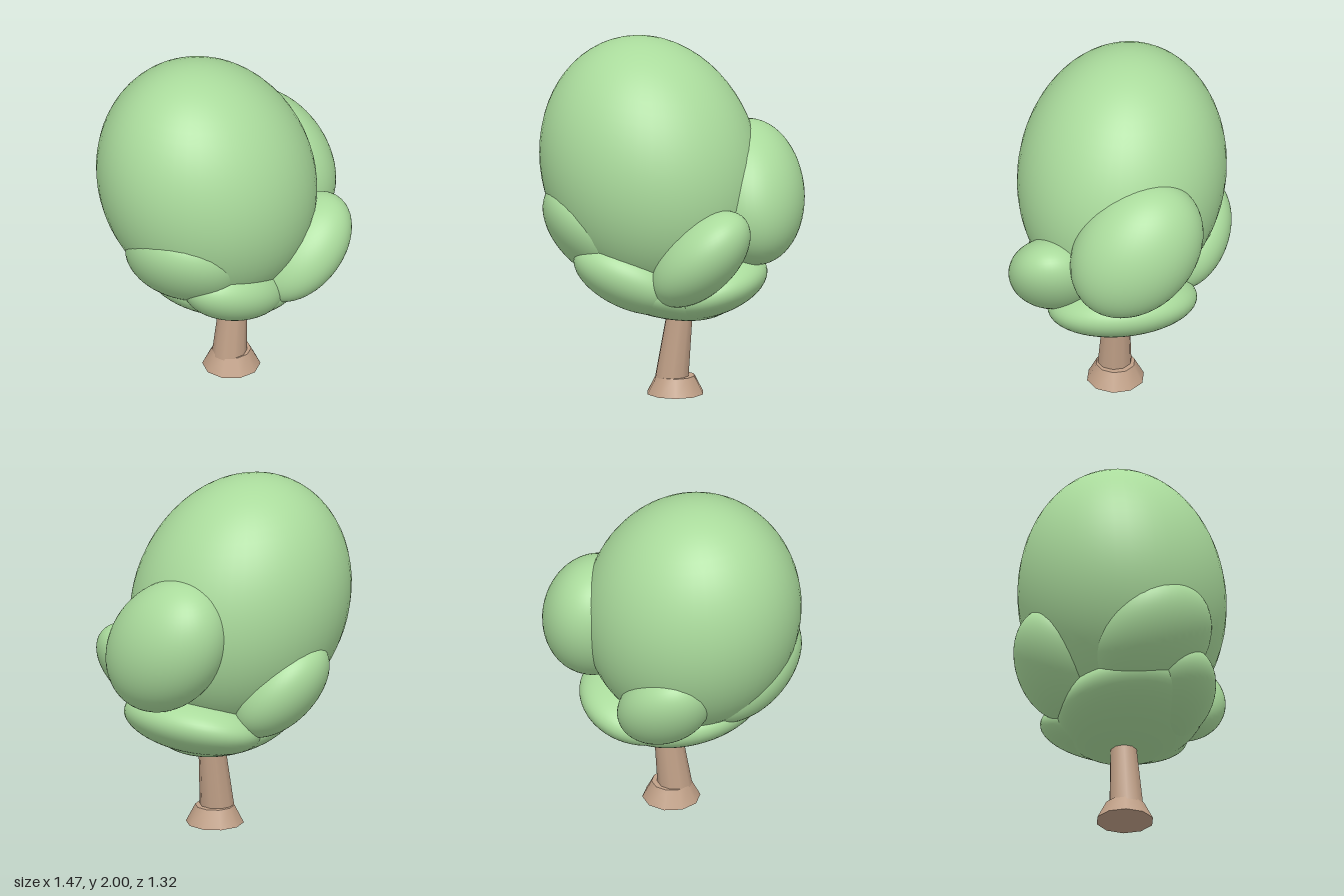
import * as THREE from 'three';

const leafGreen = new THREE.MeshStandardMaterial({ color: 0xaadb9c });
leafGreen.name = 'leafGreen';
const barkBrown = new THREE.MeshStandardMaterial({ color: 0xc0a087 });
barkBrown.name = 'barkBrown';

// Slanted ellipsoid: centre, half extents, and the lean between the axes (xy, xz, yz)
function blob(name, centre, [ex, ey, ez], [xy, xz, yz]) {
  const b = Math.sqrt(1 - xy * xy);
  const c = (yz - xy * xz) / b;
  const d = Math.sqrt(1 - xz * xz - c * c);
  const geometry = new THREE.SphereGeometry(1, 48, 32);
  geometry.applyMatrix4(new THREE.Matrix4().set(
    ex, 0, 0, centre[0],
    ey * xy, ey * b, 0, centre[1],
    ez * xz, ez * c, ez * d, centre[2],
    0, 0, 0, 1));
  const mesh = new THREE.Mesh(geometry, leafGreen);
  mesh.name = name;
  return mesh;
}

export function createModel() {
  const tree = new THREE.Group();
  tree.name = 'tree';

  // Foliage
  const foliage = new THREE.Group();
  foliage.name = 'foliage';
  foliage.add(
    blob('mainCrown', [-0.12, 1.28, -0.052], [0.617, 0.72, 0.59], [-0.1, 0.055, -0.09]),
    blob('leftClump', [0.445, 1.14, -0.005], [0.293, 0.39, 0.375], [-0.07, 0, -0.24]),
    blob('frontClump', [0.155, 0.85, 0.4], [0.275, 0.28, 0.26], [0.5, 0.12, 0.18]),
    blob('frontRightClump', [-0.24, 0.7, 0.22], [0.31, 0.205, 0.23], [-0.45, 0.15, 0]),
    blob('rightClump', [-0.42, 0.92, 0.01], [0.3, 0.3, 0.34], [-0.45, 0, 0.15]),
    blob('backClump', [-0.05, 0.855, -0.42], [0.27, 0.275, 0.24], [-0.3, 0.1, -0.4]),
    blob('bottomClump', [-0.08, 0.63, 0.02], [0.42, 0.2, 0.41], [-0.45, 0, 0]),
    blob('bottomLeftClump', [0.2, 0.625, 0.02], [0.33, 0.185, 0.42], [0.37, 0, 0]));
  tree.add(foliage);

  // Trunk leaning toward +x
  const lean = new THREE.Matrix4().set(1, 0.12, 0, 0, 0, 1, 0, 0, 0, 0, 1, 0, 0, 0, 0, 1);
  const trunk = new THREE.Mesh(
    new THREE.CylinderGeometry(0.069, 0.099, 0.5, 10).applyMatrix4(lean), barkBrown);
  trunk.name = 'trunk';
  trunk.position.set(0.024, 0.3, 0.018);
  tree.add(trunk);

  // Flared root collar
  const rootFlare = new THREE.Mesh(new THREE.CylinderGeometry(0.11, 0.162, 0.1, 10), barkBrown);
  rootFlare.name = 'rootFlare';
  rootFlare.position.set(0.018, 0.05, 0.017);
  tree.add(rootFlare);

  return tree;
}
